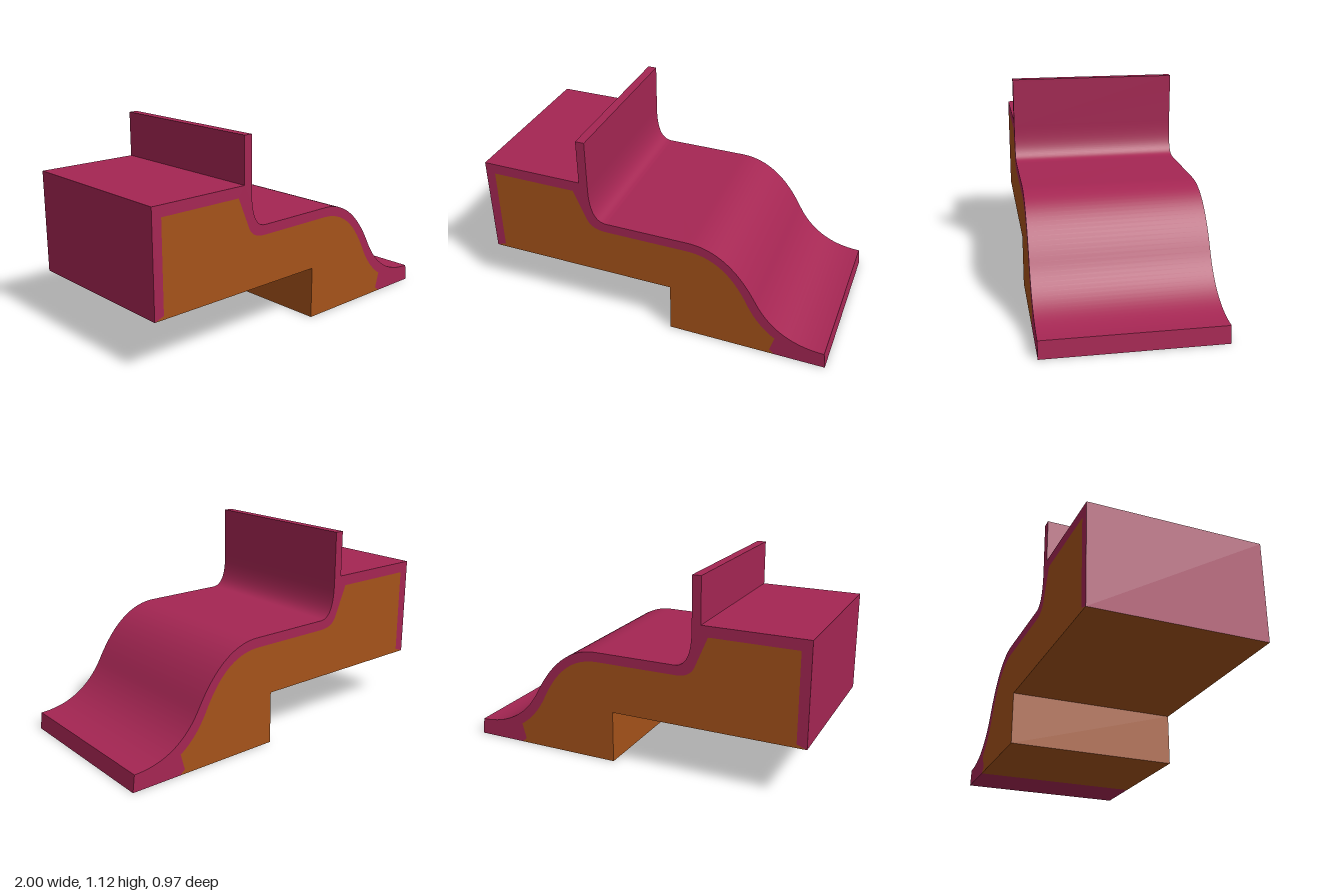
import * as THREE from 'three';
import { toCreasedNormals } from 'three/addons/utils/BufferGeometryUtils.js';

const DEPTH = 0.97;

// Sweep a front profile through the full depth, smooth along its curves
function slab(name, shape, color) {
  const geometry = new THREE.ExtrudeGeometry(shape, { depth: DEPTH, bevelEnabled: false, curveSegments: 20 });
  geometry.translate(0, 0, -DEPTH / 2);
  const mesh = new THREE.Mesh(toCreasedNormals(geometry, 0.5), new THREE.MeshStandardMaterial({ color }));
  mesh.name = name;
  return mesh;
}

// Boundary shared by the core and its covering, from the toe back to the rear edge
function traceSeam(shape) {
  shape.lineTo(0.685, 0.025);
  shape.lineTo(0.71, 0.115);
  shape.bezierCurveTo(0.64, 0.16, 0.585, 0.225, 0.54, 0.315);
  shape.bezierCurveTo(0.46, 0.47, 0.36, 0.575, 0.19, 0.575);
  shape.lineTo(-0.27, 0.575);
  shape.bezierCurveTo(-0.33, 0.575, -0.37, 0.59, -0.39, 0.64);
  shape.lineTo(-0.46, 0.805);
  shape.lineTo(-0.945, 0.805);
  shape.lineTo(-0.945, 0.315);
  shape.lineTo(-1, 0.295);
}

export function createModel() {
  const group = new THREE.Group();

  // Covering: top shelf, upright fin, step, S-curve and thick toe
  const cover = new THREE.Shape();
  cover.moveTo(-1, 0.865);
  cover.lineTo(-0.42, 0.865);
  cover.lineTo(-0.42, 1.12);
  cover.lineTo(-0.37, 1.12);
  cover.lineTo(-0.37, 0.84);
  cover.bezierCurveTo(-0.37, 0.7, -0.34, 0.63, -0.27, 0.63);
  cover.lineTo(0.2, 0.63);
  cover.bezierCurveTo(0.38, 0.63, 0.5, 0.5, 0.59, 0.335);
  cover.bezierCurveTo(0.68, 0.17, 0.82, 0.095, 0.988, 0.095);
  cover.lineTo(1, 0);
  cover.lineTo(0.715, 0);
  traceSeam(cover);
  cover.closePath();
  group.add(slab('cover', cover, 0xa52653));

  // Core: solid body with a notch cut under its rear half
  const core = new THREE.Shape();
  core.moveTo(0.1, 0);
  core.lineTo(0.715, 0);
  traceSeam(core);
  core.lineTo(0.1, 0.295);
  core.closePath();
  group.add(slab('core', core, 0xa5521a));

  return group;
}
